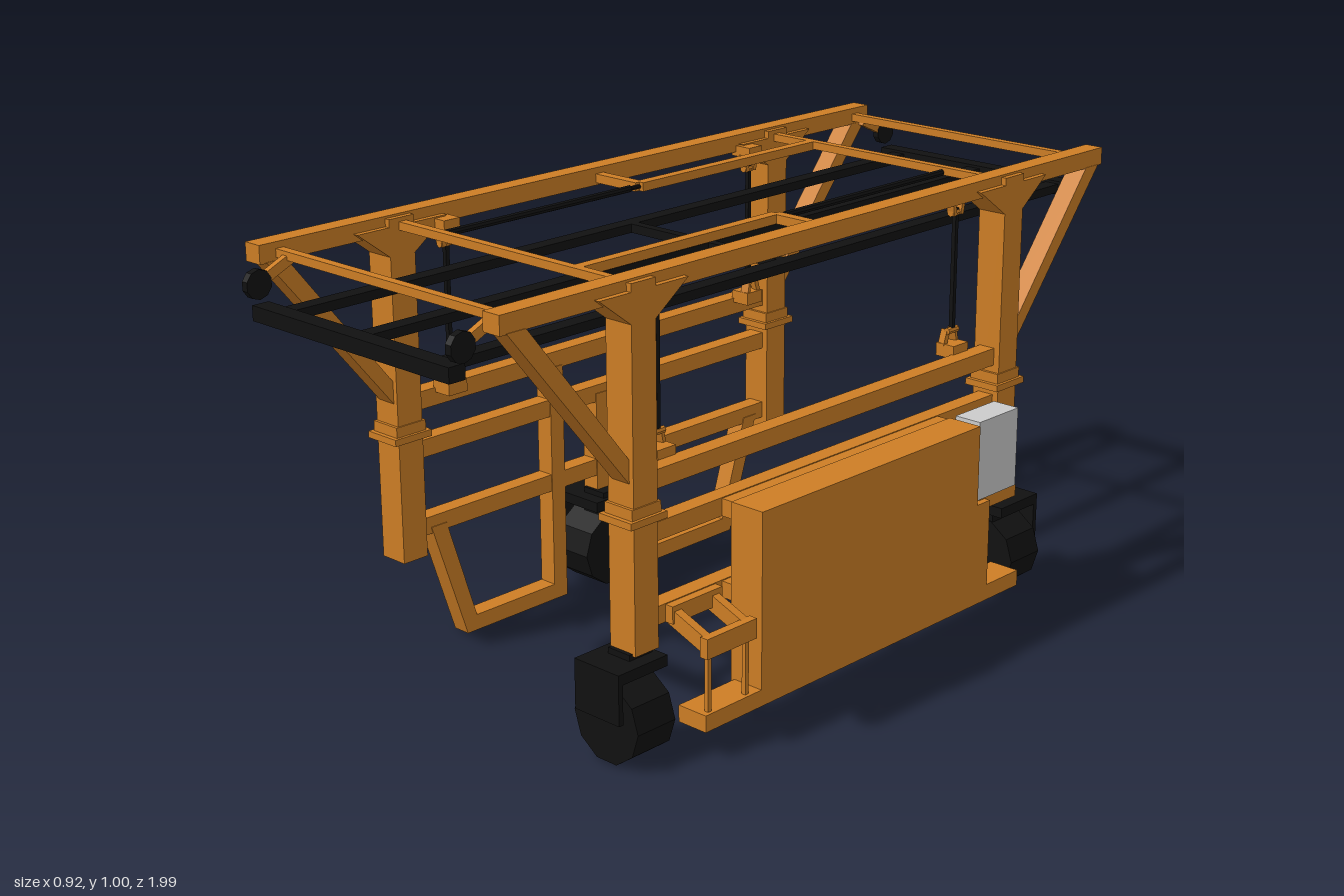
import * as THREE from 'three';

const material = (color) => new THREE.MeshStandardMaterial({ color, flatShading: true });

export function createModel() {
  const model = new THREE.Group();
  const orange = material(0xcd7e25);
  const black = material(0x111111);
  const grey = material(0xcccccc);

  const put = (name, geometry, mat, x, y, z, parent = model) => {
    const mesh = new THREE.Mesh(geometry, mat);
    mesh.name = name;
    mesh.position.set(x, y, z);
    parent.add(mesh);
    return mesh;
  };

  // Box given by its extents along each axis
  const box = (name, [x0, x1], [y0, y1], [z0, z1], mat = orange, parent = model) =>
    put(name, new THREE.BoxGeometry(Math.abs(x1 - x0), Math.abs(y1 - y0), Math.abs(z1 - z0)), mat,
      (x0 + x1) / 2, (y0 + y1) / 2, (z0 + z1) / 2, parent);

  // Square bar running between two points
  const bar = (name, a, b, w, h, mat = orange) => {
    const from = new THREE.Vector3(...a), to = new THREE.Vector3(...b);
    const mesh = put(name, new THREE.BoxGeometry(w, h, from.distanceTo(to)), mat, 0, 0, 0);
    mesh.position.copy(from).add(to).multiplyScalar(0.5);
    mesh.lookAt(to);
    return mesh;
  };

  // Slab with its outline in the z-y plane, extruded along x
  const slab = (name, points, x0, x1, mat = orange) => {
    const shape = new THREE.Shape(points.map(([z, y]) => new THREE.Vector2(-z, y)));
    const geometry = new THREE.ExtrudeGeometry(shape, { depth: x1 - x0, bevelEnabled: false });
    geometry.rotateY(Math.PI / 2);
    return put(name, geometry, mat, x0, 0, 0);
  };

  // Round rod between two points
  const rod = (name, a, b, r, mat = black, sides = 8) => {
    const from = new THREE.Vector3(...a), to = new THREE.Vector3(...b);
    const geometry = new THREE.CylinderGeometry(r, r, from.distanceTo(to), sides);
    geometry.rotateX(Math.PI / 2);
    const mesh = put(name, geometry, mat, 0, 0, 0);
    mesh.position.copy(from).add(to).multiplyScalar(0.5);
    mesh.lookAt(to);
    return mesh;
  };

  const around = (c, half) => [c - half, c + half];
  const middle = -0.0325;

  // The two side frames
  for (const s of [-1, 1]) {
    const x = middle + s * 0.3525;
    const inner = (d) => x - s * d;
    box('topBeam', around(x, 0.0225), [0.96, 1], [-0.935, 0.935]);
    for (const [y0, y1] of [[0.56, 0.6], [0.45, 0.49], [0.27, 0.31]]) {
      box('sideBeam', around(x, 0.02), [y0, y1], [-0.56, 0.56]);
    }

    for (const e of [-1, 1]) {
      // Columns with collars, gussets and diagonal braces
      const z = e * 0.583;
      box('column', around(x, 0.035), [0.23, 0.995], around(z, 0.033));
      box('collar', around(x, 0.045), [0.505, 0.52], around(z, 0.05));
      box('upperCollar', around(x, 0.038), [0.52, 0.543], around(z, 0.04));
      slab('gusset', [[e * 0.7, 0.978], [e * 0.61, 0.978], [e * 0.61, 0.91]], x - 0.035, x + 0.035);
      slab('gusset', [[e * 0.46, 0.978], [e * 0.555, 0.978], [e * 0.555, 0.91]], x - 0.035, x + 0.035);
      slab('brace', [[e * 0.92, 0.962], [e * 0.872, 0.962], [e * 0.61, 0.635], [e * 0.61, 0.585]],
        x - 0.024, x + 0.024);

      // Hoist: upper bracket, cable and lower clevis
      const hz = e * 0.472, cx = inner(0.042);
      box('hoistBracket', [inner(0.01), inner(0.065)], [0.95, 0.975], around(hz, 0.022));
      box('cable', around(cx, 0.005), [0.65, 0.93], around(hz, 0.005), black);
      box('clevisBase', [inner(0.015), inner(0.065)], [0.59, 0.62], around(hz, 0.026));
      for (const d of [-1, 1]) {
        bar('bracketLug', [cx, 0.955, hz + d * 0.019], [cx, 0.915, hz + d * 0.011], 0.02, 0.01);
        bar('clevisLug', [inner(0.052), 0.615, hz + d * 0.02], [inner(0.05), 0.65, hz + d * 0.011], 0.02, 0.01);
      }
      rod('bracketPin', [cx, 0.92, hz - 0.018], [cx, 0.92, hz + 0.018], 0.008, orange);
      rod('clevisPin', [cx, 0.648, hz - 0.018], [cx, 0.648, hz + 0.018], 0.008, orange);

      // Guide rollers at the corners of the top frame
      const rx = middle + s * 0.302;
      rod('guideRoller', [rx - 0.008, 0.933, e * 0.965], [rx + 0.008, 0.933, e * 0.965], 0.031, black, 10);
      bar('rollerBracket', [rx, 0.972, e * 0.88], [rx, 0.938, e * 0.955], 0.014, 0.022);
    }
  }

  // Cross members of the top frame
  for (const z of [-0.885, -0.58, 0.58, 0.885]) {
    box('crossBar', [-0.37, 0.305], [0.968, 0.986], around(z, 0.01));
  }

  // Side-shift arms with their cylinders
  for (const [x, e, edge] of [[-0.237, -1, -0.385], [0.167, 1, 0.32]]) {
    box('shiftArm', around(x, 0.012), [0.966, 0.986], [0, e * 0.58]);
    box('shiftArmLink', [x, edge], [0.966, 0.986], around(0, 0.012));
    rod('cylinderBody', [x, 0.976, -e * 0.03], [x, 0.976, -e * 0.56], 0.008);
    rod('cylinderRod', [x, 0.976, 0], [x, 0.976, -e * 0.05], 0.005);
  }

  // Hanging lifting frame
  for (const x of [-0.27, -0.035, 0.198]) {
    box('spreaderRail', around(x, 0.018), [0.87, 0.89], [-0.96, 0.96], black);
  }
  box('spreaderMiddleBar', [-0.27, 0.2], [0.87, 0.89], around(0, 0.011), black);
  for (const e of [-1, 1]) {
    box('spreaderEndBar', [-0.325, 0.26], [0.864, 0.896], around(e * 0.967, 0.02), black);
  }

  // Wheel rolling across local z, with mudguard
  const wheel = (name, x, z, turn) => {
    const group = new THREE.Group();
    group.name = name;
    group.position.set(x, 0, z);
    group.rotation.y = turn;
    const tyre = new THREE.CylinderGeometry(0.09, 0.09, 0.105, 10);
    tyre.rotateY(Math.PI / 2).rotateX(Math.PI / 2);
    put('tyre', tyre, black, 0, 0.093, 0, group);
    box('guardTop', [-0.062, 0.062], [0.198, 0.222], [-0.06, 0.075], black, group);
    box('guardPlate', [-0.062, 0.062], [0.112, 0.222], [0.065, 0.077], black, group);
    box('wheelStem', [-0.03, 0.03], [0.15, 0.235], [-0.05, 0.015], black, group);
    model.add(group);
  };
  wheel('frontWheel', 0.317, 0.61, 0);
  wheel('rearWheel', 0.317, -0.61, Math.PI);
  wheel('sideWheel', -0.385, 0, -Math.PI / 2);

  // Lower guard frames either side of the single wheel
  const gx = -0.385;
  box('sideWheelPost', around(gx, 0.022), [0.22, 0.47], around(0, 0.022));
  for (const e of [-1, 1]) {
    slab('guardSlope', [[e * 0.525, 0.285], [e * 0.482, 0.285], [e * 0.392, 0.003], [e * 0.432, 0.003]],
      gx - 0.022, gx + 0.022);
    box('guardFoot', around(gx, 0.022), [0.003, 0.04], [e * 0.125, e * 0.43]);
    box('guardPost', around(gx, 0.022), [0.003, 0.565], [e * 0.125, e * 0.165]);
  }

  // Engine housing, tray and control cabinet
  slab('engineHousing', [[0.355, 0.065], [0.355, 0.49], [-0.355, 0.49], [-0.355, 0.305], [-0.4, 0.305], [-0.4, 0.065]],
    0.37, 0.455);
  box('housingTray', [0.38, 0.455], [0.065, 0.102], [-0.515, 0.52]);
  box('housingMount', [0.335, 0.375], [0.45, 0.488], [-0.35, 0.35]);
  box('housingMount', [0.335, 0.375], [0.272, 0.308], [-0.39, 0.35]);
  box('cabinet', [0.375, 0.442], [0.308, 0.492], [-0.51, -0.37], grey);
  box('cabinetShelf', [0.335, 0.44], [0.28, 0.308], [-0.515, -0.38]);

  // Step frame in front of the housing
  for (const z of [0.39, 0.5]) {
    bar('stepArm', [0.34, 0.285, z], [0.445, 0.245, z], 0.02, 0.035);
    box('stepPost', [0.437, 0.447], [0.1, 0.25], around(z, 0.005));
  }
  box('stepEdge', [0.435, 0.455], [0.222, 0.266], [0.37, 0.515]);
  box('stepInnerEdge', [0.33, 0.36], [0.27, 0.308], [0.37, 0.515]);
  return model;
}
